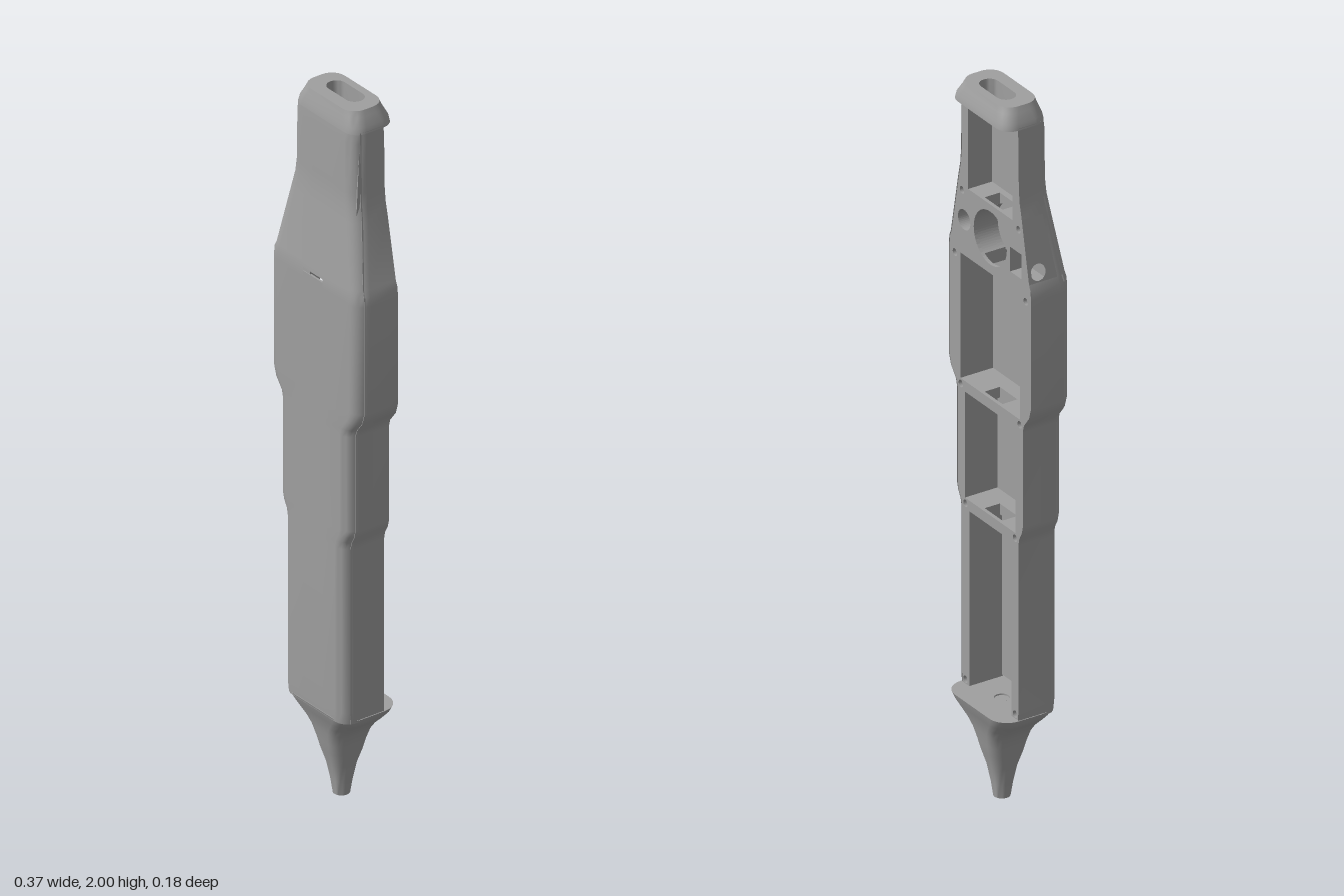
import * as THREE from 'three';
import { toCreasedNormals } from 'three/addons/utils/BufferGeometryUtils.js';

const BACK = -0.035, R = 0.04;
// shell stations: height, half width, front depth
const ROWS = [
  [0.268, 0.128, 0.088], [0.3, 0.13, 0.09], [0.77, 0.13, 0.09], [0.79, 0.134, 0.09], [0.81, 0.145, 0.09],
  [0.83, 0.15, 0.09], [1.1, 0.15, 0.09], [1.12, 0.155, 0.09], [1.15, 0.178, 0.09], [1.18, 0.187, 0.09],
  [1.487, 0.187, 0.09], [1.513, 0.185, 0.09], [1.53, 0.178, 0.088], [1.7, 0.145, 0.066],
  [1.74, 0.136, 0.062], [1.78, 0.132, 0.06], [1.92, 0.13, 0.06], [1.95, 0.127, 0.058],
];
const SLOT_ROW = 10, TAPER_ROW = 12;
// open bays in the back: bottom, top, half width
const BAYS = [[0.271, 0.77, 0.095], [0.8, 1.1, 0.115], [1.13, 1.485, 0.135], [1.68, 1.948, 0.1]];
const EYE = { y: 1.585, r: 0.075 };

function sample(y, k) {
  let i = 0;
  while (i < ROWS.length - 2 && ROWS[i + 1][0] < y) i++;
  const a = ROWS[i], b = ROWS[i + 1];
  return THREE.MathUtils.lerp(a[k], b[k], THREE.MathUtils.clamp((y - a[0]) / (b[0] - a[0]), 0, 1));
}

// quarter arc in x/z
function arc(cx, cz, r, start, y, n = 6) {
  return Array.from({ length: n + 1 }, (_, i) => {
    const t = start - (i / n) * Math.PI / 2;
    return [cx + r * Math.cos(t), y, cz + r * Math.sin(t)];
  });
}

function roundRing(y, hx, z0, z1, r) {
  const x = hx - r, P = Math.PI;
  return [...arc(-x, z1 - r, r, P, y), ...arc(x, z1 - r, r, P / 2, y),
    ...arc(x, z0 + r, r, 0, y), ...arc(-x, z0 + r, r, -P / 2, y)];
}

function shellRing([y, hw, zf]) {
  return [[-hw, y, BACK], ...arc(-hw + R, zf - R, R, Math.PI, y), [-0.04, y, zf],
    [0.04, y, zf], ...arc(hw - R, zf - R, R, Math.PI / 2, y), [hw, y, BACK]];
}

function loft(rings, closed, skip = () => false) {
  const n = rings[0].length, index = [];
  for (let i = 0; i < rings.length - 1; i++) {
    for (let j = 0; j < (closed ? n : n - 1); j++) {
      if (skip(i, j)) continue;
      const a = i * n + j, b = i * n + (j + 1) % n;
      index.push(a, b, b + n, a, b + n, a + n);
    }
  }
  const g = new THREE.BufferGeometry();
  g.setAttribute('position', new THREE.Float32BufferAttribute(rings.flat(2), 3));
  g.setIndex(index);
  return toCreasedNormals(g, 0.6);
}

const toPath = (pts) => new THREE.Path().setFromPoints(pts.map(([x, y]) => new THREE.Vector2(x, y)));
const circle = (x, y, r) => new THREE.Path().absarc(x, y, r, 0, Math.PI * 2);
const rect = (x0, x1, y0, y1) => toPath([[x0, y0], [x1, y0], [x1, y1], [x0, y1]]);
// mirrored opening from [y, half width] pairs
const mirrored = (half) => toPath([...half.map(([y, w]) => [w, y]), ...half.slice().reverse().map(([y, w]) => [-w, y])]);
const baySteps = ([y0, y1, w]) => [[y0, w], [y1, w]];

function eyeArc(end) {
  const a = Math.asin(0.04 / EYE.r);
  return Array.from({ length: 25 }, (_, i) => {
    const t = a + (end - a) * i / 24;
    return [EYE.y - EYE.r * Math.cos(t), EYE.r * Math.sin(t)];
  });
}

export function createModel() {
  const model = new THREE.Group();
  const grey = new THREE.MeshStandardMaterial({ color: 0xa0a0a0, side: THREE.DoubleSide });
  grey.name = 'grey';
  const add = (name, geometry) => {
    const m = new THREE.Mesh(geometry, grey);
    m.name = name;
    model.add(m);
    return m;
  };

  // outer half shell with a front slot and a side port
  add('outerShell', loft(ROWS.map(shellRing), false,
    (i, j) => (i === SLOT_ROW && j === 8) || (i === TAPER_ROW && j === 0)));
  const [ya, , za] = ROWS[TAPER_ROW], [yb, , zb] = ROWS[TAPER_ROW + 1];
  const side = new THREE.Shape([[BACK, ya], [za - R, ya], [zb - R, yb], [BACK, yb]]
    .map(([x, y]) => new THREE.Vector2(x, y)));
  side.holes.push(circle(-0.006, 1.556, 0.022));
  const port = new THREE.ShapeGeometry(side, 20);
  const pp = port.attributes.position;
  for (let i = 0; i < pp.count; i++) {
    pp.setXYZ(i, -sample(pp.getY(i), 1), pp.getY(i), pp.getX(i));
  }
  port.computeVertexNormals();
  add('sidePortPanel', port);

  // inner frame: three stacked layers with bays, ribs and pockets
  const outline = (notched) => {
    const half = ROWS.map(([y, hw]) => [hw - 0.003, y]);
    const left = half.map(([x, y]) => [-x, y]);
    if (notched) {
      const edge = (y) => [-(sample(y, 1) - 0.003), y];
      left.splice(TAPER_ROW + 1, 0, edge(1.5305), [-0.09, 1.5305], [-0.09, 1.6], edge(1.6));
    }
    return new THREE.Shape([...half, ...left.reverse()].map(([x, y]) => new THREE.Vector2(x, y)));
  };
  const layer = (name, z0, z1, notched, holes, followFront) => {
    const s = outline(notched);
    s.holes.push(...holes);
    const g = new THREE.ExtrudeGeometry(s, { depth: z1 - z0, bevelEnabled: false, curveSegments: 20 });
    g.translate(0, 0, z0);
    const p = g.attributes.position;
    if (followFront) {
      for (let i = 0; i < p.count; i++) {
        if (p.getZ(i) > z0 + 0.001) p.setZ(i, sample(p.getY(i), 2) - 0.022);
      }
      g.computeVertexNormals();
    }
    add(name, g);
  };
  const screws = [[0.287, 0.112], [0.785, 0.112], [1.115, 0.133], [1.475, 0.16], [1.665, 0.128]]
    .flatMap(([y, x]) => [circle(x, y, 0.01), circle(-x, y, 0.01)]);
  layer('backRim', BACK, -0.025, false, [
    ...BAYS.map(([y0, y1, w]) => rect(-w, w, y0, y1)), circle(0, EYE.y, EYE.r),
    circle(0.118, EYE.y, 0.028), rect(-0.142, -0.09, 1.5305, 1.6), ...screws,
  ]);
  const a = Math.asin(0.04 / EYE.r);
  // middle layer: passages through every rib
  layer('ribPassages', -0.025, 0.02, true, [
    mirrored([...baySteps(BAYS[0]), [0.77, 0.04], [0.8, 0.04], ...baySteps(BAYS[1]), [1.1, 0.04], [1.13, 0.04],
      ...baySteps(BAYS[2]), [1.485, 0.04], ...eyeArc(Math.PI - a), [1.68, 0.04], ...baySteps(BAYS[3])]),
    circle(0.118, EYE.y, 0.028),
  ]);
  layer('frontFrame', 0.02, 0.06, false, [
    ...[0, 1, 3].map((i) => rect(-BAYS[i][2], BAYS[i][2], BAYS[i][0], BAYS[i][1])),
    mirrored([...baySteps(BAYS[2]), [1.485, 0.04], ...eyeArc(Math.PI - 0.05)]),
  ], true);

  // bay floors
  const floor = (name, w, y0, y1, z) => {
    add(name, new THREE.BoxGeometry(w * 2, y1 - y0, 0.006)).position.set(0, (y0 + y1) / 2, z);
  };
  floor('lowerBayFloor', 0.11, 0.28, 0.79, 0.066);
  floor('middleBayFloor', 0.125, 0.79, 1.12, 0.066);
  floor('wideBayFloor', 0.142, 1.12, 1.484, 0.066);
  floor('upperBayFloor', 0.11, 1.516, 1.948, 0.04);

  // nose: rounded rectangle blending down to a round tip
  const nose = [[0, 0.022, 0.022], [0.04, 0.028, 0.027], [0.09, 0.038, 0.036], [0.13, 0.051, 0.048],
    [0.16, 0.058, 0.055], [0.195, 0.07, 0.063], [0.22, 0.087, 0.07], [0.245, 0.112, 0.079],
    [0.26, 0.125, 0.085], [0.275, 0.131, 0.09]];
  add('nose', loft(nose.map(([y, hx, hz]) => roundRing(y, hx, -hz, hz, Math.min(hx, hz) * (1 - 1.5 * y))), true));
  const flat = (name, ring, hole, y) => {
    const s = new THREE.Shape(ring.map(([x, , z]) => new THREE.Vector2(x, z)));
    s.holes.push(hole);
    add(name, new THREE.ShapeGeometry(s, 20).rotateX(Math.PI / 2).translate(0, y, 0));
  };
  flat('noseFlange', roundRing(0, 0.131, -0.09, 0.09, 0.053), circle(0, 0, 0.02), 0.275);
  flat('tipRing', roundRing(0, 0.022, -0.022, 0.022, 0.0219), circle(0, 0, 0.015), 0);
  add('noseBore', new THREE.CylinderGeometry(0.02, 0.015, 0.275, 24, 1, true)).position.y = 0.1375;

  // top cap with a rounded slot
  const cap = [[1.945, 0.128, -0.075, 0.059], [1.962, 0.124, -0.073, 0.057], [1.985, 0.112, -0.064, 0.051],
    [2, 0.105, -0.06, 0.048]].map(([y, hx, z0, z1]) => roundRing(y, hx, z0, z1, R));
  add('topCap', loft(cap, true));
  const slot = (y) => roundRing(y, 0.063, -0.039, 0.013, 0.0259);
  const slotPath = () => toPath(slot(0).map(([x, , z]) => [x, z]));
  add('capSlot', loft([slot(1.945), slot(2)], true));
  flat('capTop', cap[3], slotPath(), 2);
  flat('capUnderside', cap[0], slotPath(), 1.945);
  return model;
}
